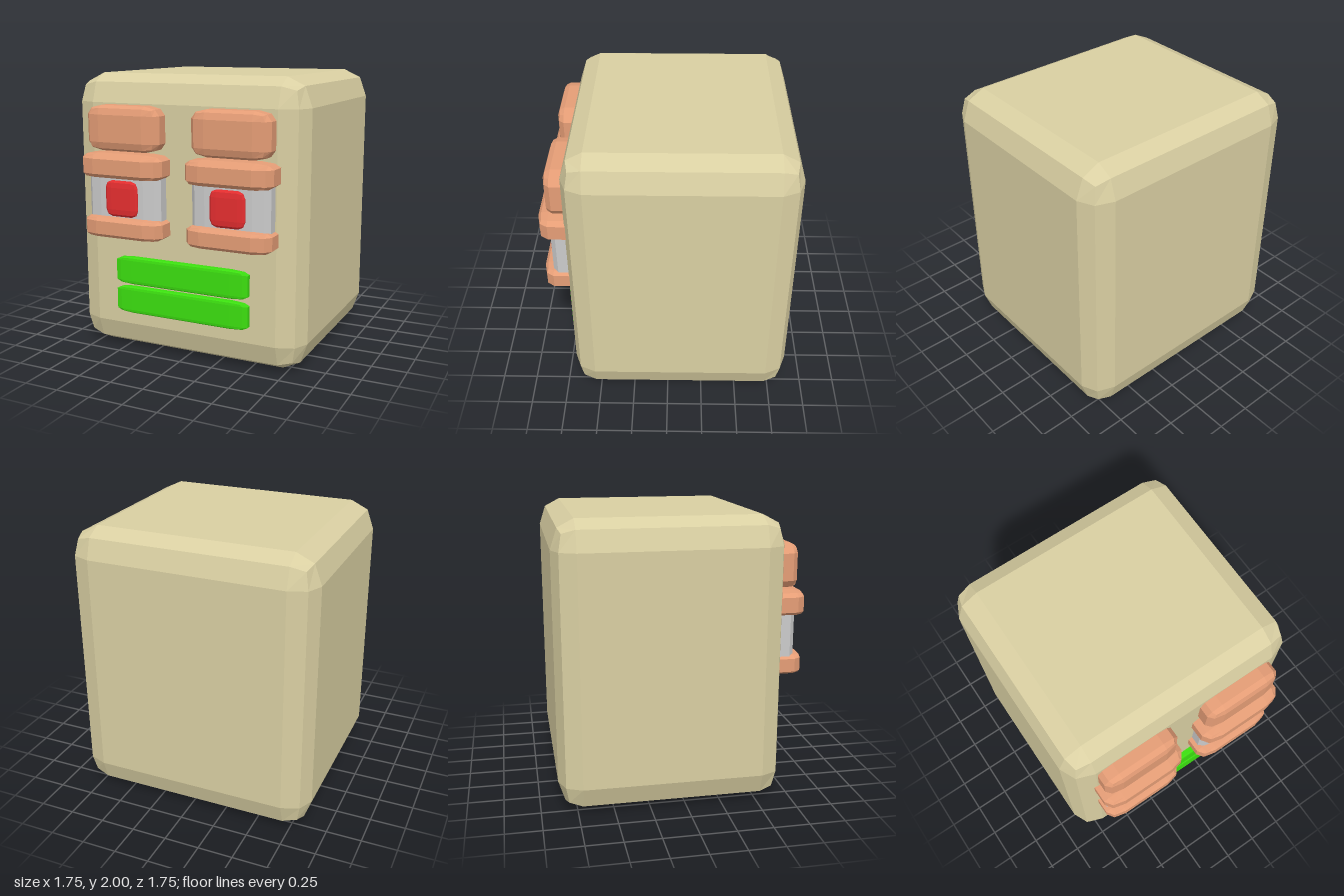
import * as THREE from 'three';
import { RoundedBoxGeometry } from 'three/addons/geometries/RoundedBoxGeometry.js';

const paint = (color) => new THREE.MeshStandardMaterial({ color, flatShading: true });

// Bevelled unit cube stretched to the given extents, so the bevel stretches too
function block(name, material, [x0, x1], [y0, y1], [z0, z1], bevel = 0.4) {
  const geometry = new RoundedBoxGeometry(2, 2, 2, 1, bevel);
  geometry.scale((x1 - x0) / 2, (y1 - y0) / 2, (z1 - z0) / 2);
  const mesh = new THREE.Mesh(geometry, material);
  mesh.name = name;
  mesh.position.set((x0 + x1) / 2, (y0 + y1) / 2, (z0 + z1) / 2);
  return mesh;
}

export function createModel() {
  const model = new THREE.Group();
  model.name = 'blockHead';

  const stone = paint(0xd9cfa2);
  const clay = paint(0xe59d76);
  const grey = paint(0xcccccc);
  const red = paint(0xe62e30);
  const green = paint(0x3ce010);

  // Head
  model.add(block('head', stone, [-0.875, 0.875], [0, 2], [-0.875, 0.69], 0.2));

  // Eyes with brow and lids, one per side
  for (const side of [-1, 1]) {
    const eye = new THREE.Group();
    eye.name = side > 0 ? 'leftEye' : 'rightEye';
    const span = (a, b) => (side > 0 ? [a, b] : [-b, -a]);
    eye.add(
      block('brow', clay, span(0.12, 0.69), [1.475, 1.79], [0.56, 0.82]),
      block('upperLid', clay, span(0.087, 0.723), [1.287, 1.463], [0.505, 0.875]),
      block('lowerLid', clay, span(0.092, 0.713), [0.865, 1.02], [0.515, 0.865]),
      block('eyeball', grey, span(0.12, 0.69), [0.9, 1.4], [0.57, 0.81]),
      block('pupil', red, span(0.275, 0.53), [1.023, 1.277], [0.75, 0.83]),
    );
    model.add(eye);
  }

  // Mouth
  model.add(
    block('upperLip', green, [-0.515, 0.512], [0.513, 0.712], [0.645, 0.735], 0.25),
    block('lowerLip', green, [-0.515, 0.512], [0.297, 0.493], [0.645, 0.735], 0.25),
  );

  return model;
}
